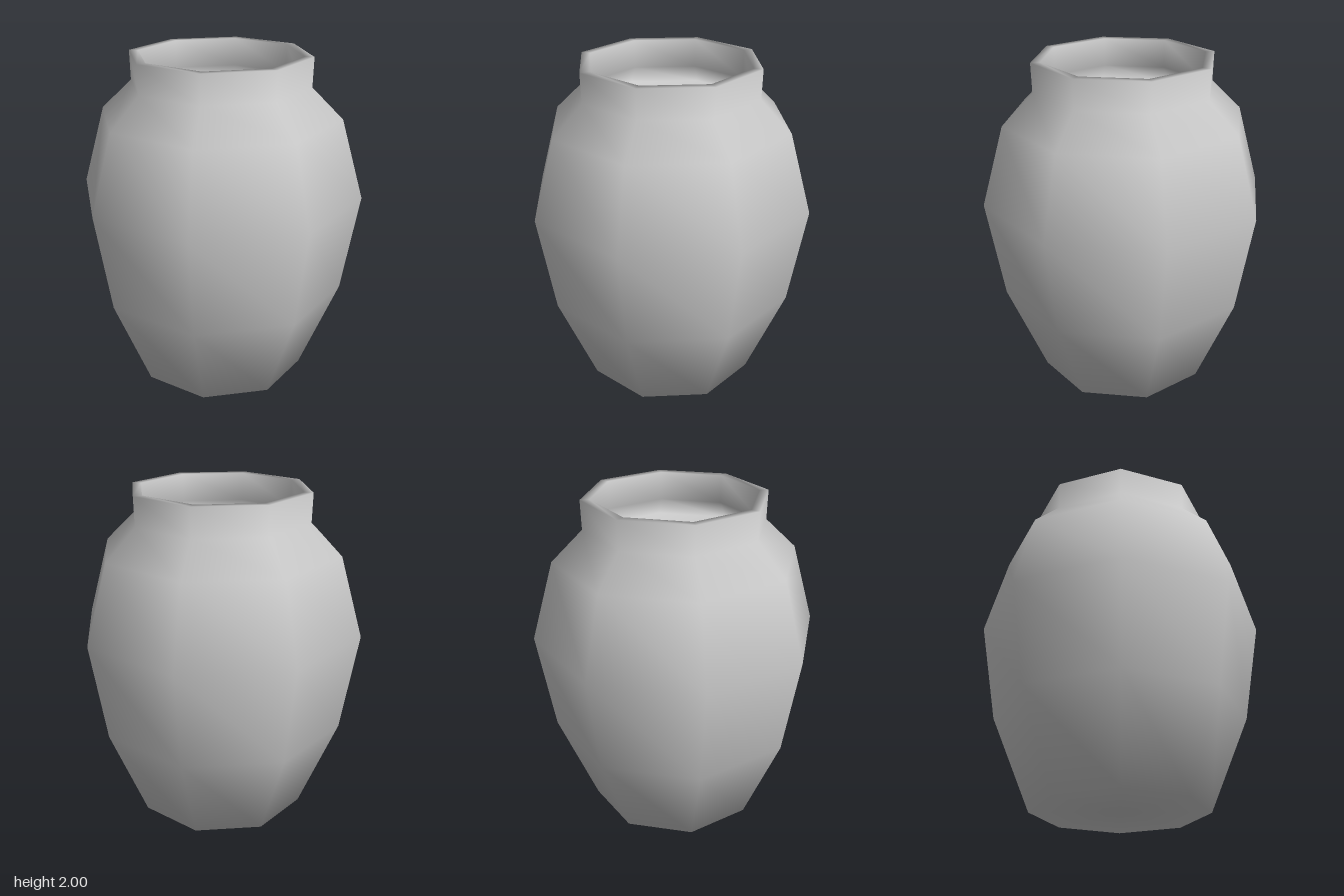
import * as THREE from 'three';

export function createModel() {
  const group = new THREE.Group();
  group.name = 'jar';

  const clay = new THREE.MeshStandardMaterial({ color: 0xcccccc });
  clay.name = 'light grey clay';

  // Closed profile: base, belly, shoulder, neck, rim, inner neck and inner floor
  const profile = [
    [0, 0], [0.525, 0], [0.76, 0.57], [0.86, 1.17], [0.725, 1.645],
    [0.54, 1.825], [0.545, 2],
    [0.49, 2], [0.49, 1.83], [0.55, 1.72], [0, 1.72],
  ].map(([r, y]) => new THREE.Vector2(r, y));

  // Eight-sided smooth-shaded body
  const body = new THREE.Mesh(new THREE.LatheGeometry(profile, 8), clay);
  body.name = 'jarBody';
  group.add(body);

  return group;
}
